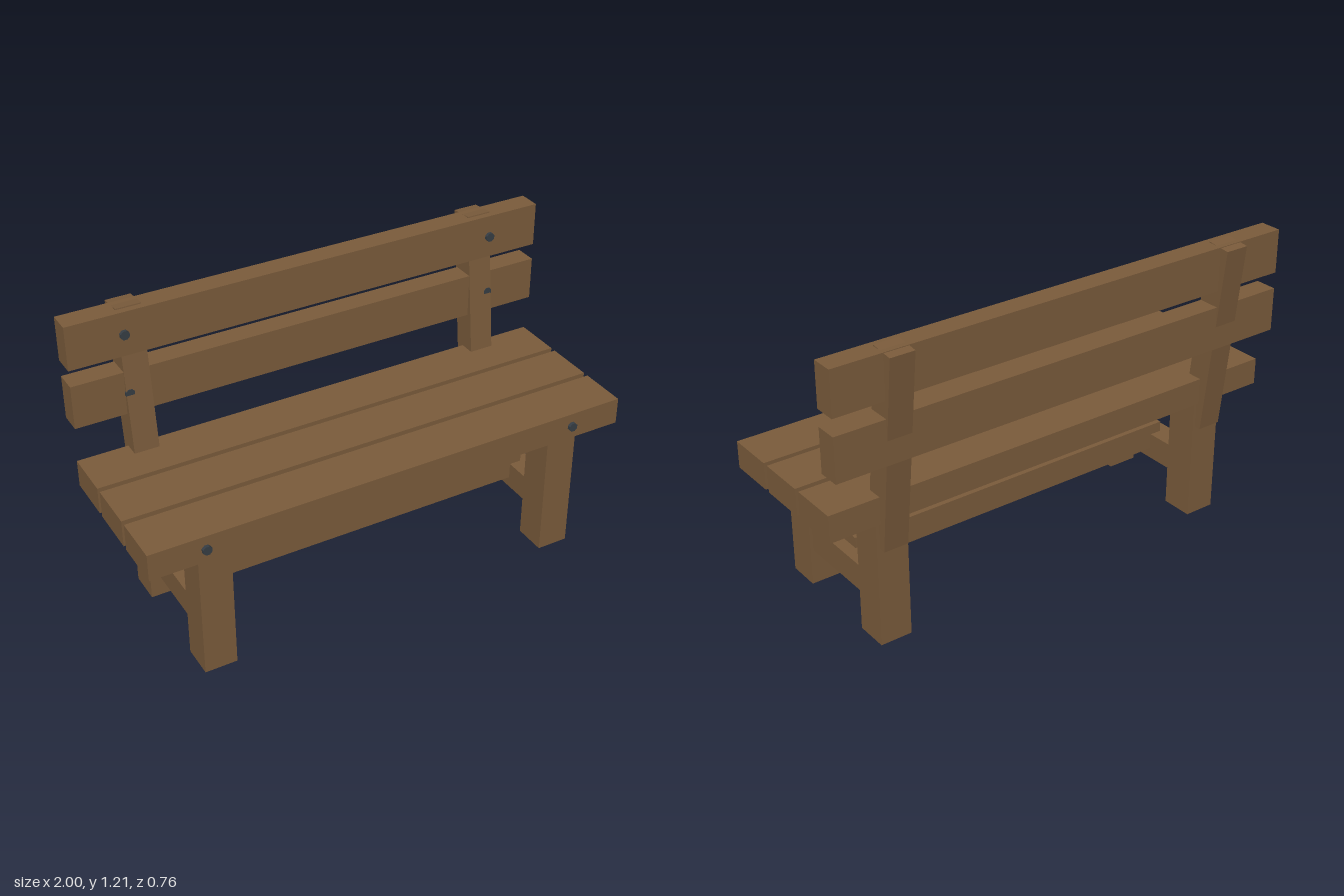
import * as THREE from 'three';

export function createModel() {
  const bench = new THREE.Group();
  bench.name = 'bench';
  const wood = new THREE.MeshStandardMaterial({ color: 0x7a5b3b });
  wood.name = 'brown wood';
  const metal = new THREE.MeshStandardMaterial({ color: 0x363d44 });
  metal.name = 'dark metal';

  // Wooden beam given by its size and centre
  function beam(name, size, centre) {
    const mesh = new THREE.Mesh(new THREE.BoxGeometry(...size), wood);
    mesh.name = name;
    mesh.position.set(...centre);
    bench.add(mesh);
    return mesh;
  }

  // Bolt head facing forward, its front at z
  const boltGeometry = new THREE.CylinderGeometry(0.019, 0.019, 0.03, 8).rotateX(Math.PI / 2);
  boltGeometry.rotateZ(Math.PI / 8);
  const boltMaterial = metal;
  boltMaterial.flatShading = true;
  function bolts(y, z) {
    for (const x of [-0.78, 0.78]) {
      const bolt = new THREE.Mesh(boltGeometry, boltMaterial);
      bolt.name = 'bolt';
      bolt.position.set(x, y, z - 0.015);
      bench.add(bolt);
    }
  }

  // Seat planks
  for (const z of [0.27, 0.047, -0.176]) {
    beam('seatPlank', [2, 0.11, 0.2], [0, 0.57, z]);
    bolts(0.57, z + 0.113);
  }

  // Backrest planks
  for (const y of [0.869, 1.114]) {
    beam('backPlank', [2, 0.178, 0.09], [0, y, -0.298]);
    bolts(y, -0.241);
  }

  // Legs, side rails and leaning back posts
  for (const x of [-0.745, 0.745]) {
    beam('frontLeg', [0.13, 0.516, 0.134], [x, 0.258, 0.292]);
    beam('backLeg', [0.13, 0.516, 0.134], [x, 0.258, -0.198]);
    beam('sideRail', [0.1, 0.11, 0.36], [x, 0.202, 0.047]);
    beam('backPost', [0.1, 0.795, 0.1], [x, 0.807, -0.285]).rotation.x = -0.113;
  }

  // Long stretcher resting in the side rails
  beam('stretcher', [1.49, 0.11, 0.11], [0, 0.246, 0.05]);

  return bench;
}
